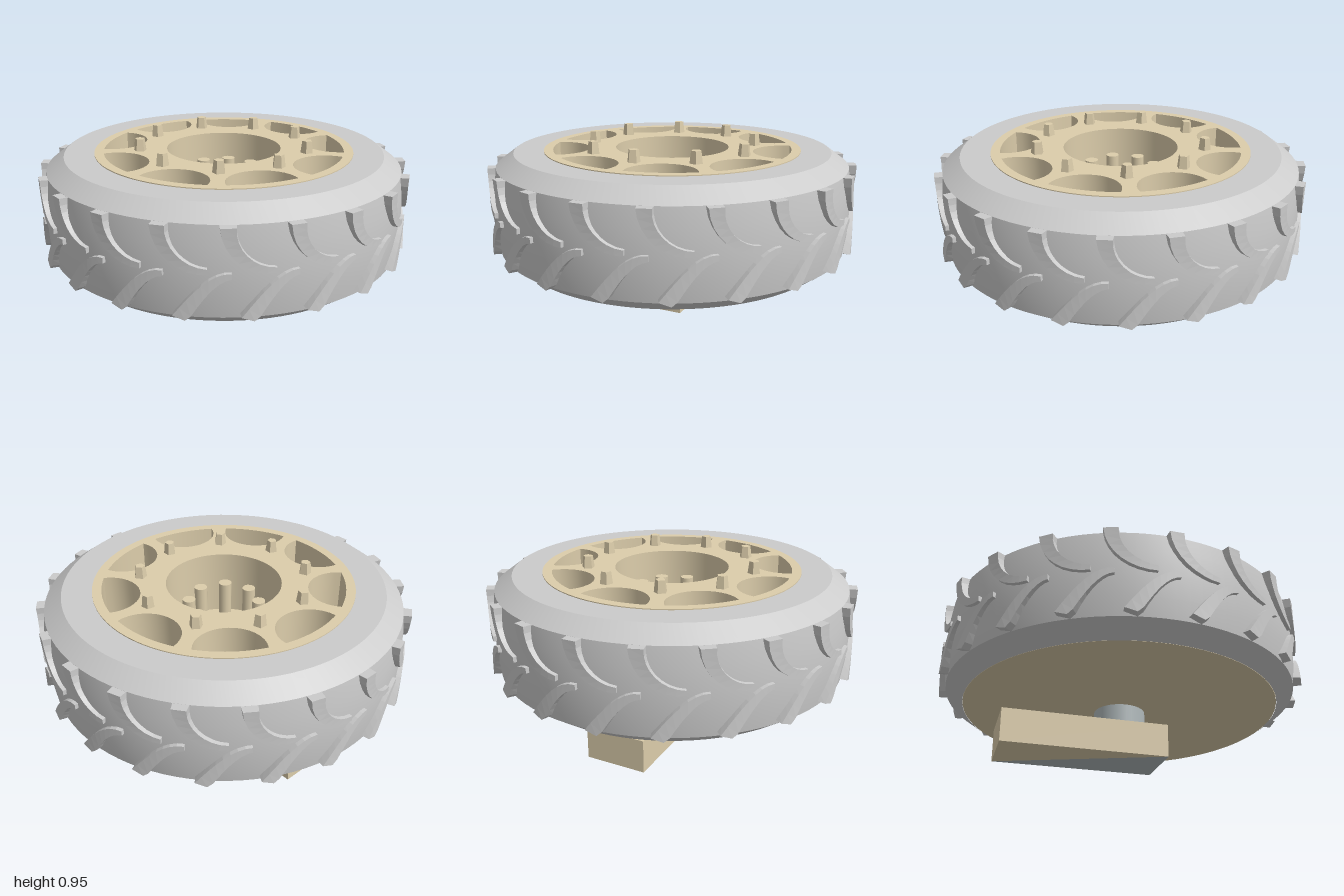
import * as THREE from 'three';
import { toCreasedNormals } from 'three/addons/utils/BufferGeometryUtils.js';

const grey = new THREE.MeshStandardMaterial({ color: 0xcccccc });
const lugGrey = new THREE.MeshStandardMaterial({ color: 0xcccccc, flatShading: true, side: THREE.DoubleSide });
const tan = new THREE.MeshStandardMaterial({ color: 0xdccdab });
const steel = new THREE.MeshStandardMaterial({ color: 0xb0b9bb });

function add(parent, name, geometry, material, x = 0, y = 0, z = 0) {
  const mesh = new THREE.Mesh(geometry, material);
  mesh.name = name;
  mesh.position.set(x, y, z);
  parent.add(mesh);
  return mesh;
}

// Tread lug swept round the tyre; path(t) gives [angle, height]
function lugGeometry(path) {
  const steps = 8, pos = [], index = [];
  for (let i = 0; i <= steps; i++) {
    const t = i / steps;
    const [a, y] = path(t);
    const [a0, y0] = path(Math.max(0, t - 0.02));
    const [a1, y1] = path(Math.min(1, t + 0.02));
    const len = Math.hypot(a1 - a0, y1 - y0);
    const na = -(y1 - y0) / len, ny = (a1 - a0) / len;
    const half = 0.042 - 0.026 * t;
    const top = 0.998 - 0.008 * t;
    for (const [side, r] of [[-1, 0.94], [-0.85, top], [0.85, top], [1, 0.94]]) {
      const ang = a + na * half * side;
      const h = THREE.MathUtils.clamp(y + ny * half * side, 0.36, 0.81);
      pos.push(r * Math.sin(ang), h, r * Math.cos(ang));
    }
    if (i < steps) {
      for (let k = 0; k < 4; k++) {
        const p = i * 4 + k, q = i * 4 + (k + 1) % 4;
        index.push(p, q, q + 4, p, q + 4, p + 4);
      }
    }
  }
  const e = steps * 4;
  index.push(0, 2, 1, 0, 3, 2, e, e + 1, e + 2, e, e + 2, e + 3);
  const g = new THREE.BufferGeometry();
  g.setAttribute('position', new THREE.Float32BufferAttribute(pos, 3));
  g.setIndex(index);
  g.computeVertexNormals();
  return g;
}

// Half-round window with an arc-shaped outer edge
function windowPath(angle) {
  const pts = [], n = 16, centre = new THREE.Vector2();
  for (let i = 0; i <= n; i++) {
    const a = Math.PI * (0.5 + i / n);
    pts.push(new THREE.Vector2(0.625 + 0.175 * Math.cos(a), 0.18 * Math.sin(a)));
  }
  for (let i = 1; i < n; i++) {
    const a = -0.28 + 0.56 * i / n;
    pts.push(new THREE.Vector2(0.65 * Math.cos(a), 0.65 * Math.sin(a)));
  }
  return new THREE.Path(pts.map((p) => p.rotateAround(centre, angle)));
}

export function createModel() {
  const model = new THREE.Group();
  model.name = 'wheel';

  // Tyre body
  const profile = [
    [0.86, 0.29], [0.955, 0.36], [0.968, 0.46], [0.972, 0.585], [0.968, 0.71],
    [0.955, 0.81], [0.86, 0.88], [0.7, 0.88], [0.7, 0.5],
  ].map(([x, y]) => new THREE.Vector2(x, y));
  add(model, 'tyre', toCreasedNormals(new THREE.LatheGeometry(profile, 96), 0.4), grey);

  // Two rows of curved lugs
  const tread = new THREE.Group();
  tread.name = 'tread';
  model.add(tread);
  const count = 20;
  const upper = lugGeometry((t) => {
    const a = t * Math.PI / 2;
    return [0.22 * (1 - Math.cos(a)), 0.81 - 0.21 * Math.sin(a)];
  });
  const lower = lugGeometry((t) => [0.09 + 0.24 * t, 0.36 + 0.22 * Math.sin(t * Math.PI / 2)]);
  for (let i = 0; i < count; i++) {
    const turn = i * Math.PI * 2 / count;
    add(tread, 'upperLug', upper, lugGrey).rotation.y = turn;
    add(tread, 'lowerLug', lower, lugGrey).rotation.y = turn;
  }

  // Back plate, also the floor of the windows and hub
  add(model, 'backPlate', new THREE.CylinderGeometry(0.858, 0.858, 0.23, 96), tan, 0, 0.405, 0);

  // Rim with nine windows and the hub opening
  const shape = new THREE.Shape().absarc(0, 0, 0.7, 0, Math.PI * 2);
  shape.holes.push(new THREE.Path().absarc(0, 0, 0.31, 0, Math.PI * 2, true));
  const step = Math.PI * 2 / 9;
  for (let i = 0; i < 9; i++) shape.holes.push(windowPath(Math.PI / 2 + i * step));
  const rim = new THREE.ExtrudeGeometry(shape, { depth: 0.366, bevelEnabled: false, curveSegments: 48 });
  rim.rotateX(-Math.PI / 2);
  add(model, 'rim', toCreasedNormals(rim, 0.5), tan, 0, 0.519, 0);

  // Studs on the spokes between the windows
  const stud = new THREE.CylinderGeometry(0.027, 0.036, 0.075, 5).toNonIndexed();
  stud.computeVertexNormals();
  for (let i = 0; i < 9; i++) {
    const a = Math.PI / 2 + (i + 0.5) * step;
    const mesh = add(model, 'stud', stud, tan, 0.455 * Math.cos(a), 0.912, -0.455 * Math.sin(a));
    mesh.rotation.y = a;
  }

  // Ring of pegs in the hub
  const peg = new THREE.CylinderGeometry(0.036, 0.036, 0.25, 12);
  for (let i = 0; i < 8; i++) {
    const a = i * Math.PI / 4;
    add(model, 'hubPeg', peg, tan, 0.19 * Math.cos(a), 0.645, 0.19 * Math.sin(a));
  }

  // Axle and mounting arm, whose underside is split along a diagonal
  add(model, 'axle', new THREE.CylinderGeometry(0.14, 0.14, 0.36, 32), steel, 0, 0.355, 0);
  const arm = new THREE.BoxGeometry(0.33, 0.18, 0.89);
  [12, 14, 15, 12, 15, 13].forEach((v, i) => arm.index.setX(18 + i, v));
  arm.clearGroups();
  arm.addGroup(0, 21, 0);
  arm.addGroup(21, 3, 1);
  arm.addGroup(24, 12, 0);
  add(model, 'mountingArm', arm, [tan, steel], -0.015, 0.09, -0.225);

  return model;
}
